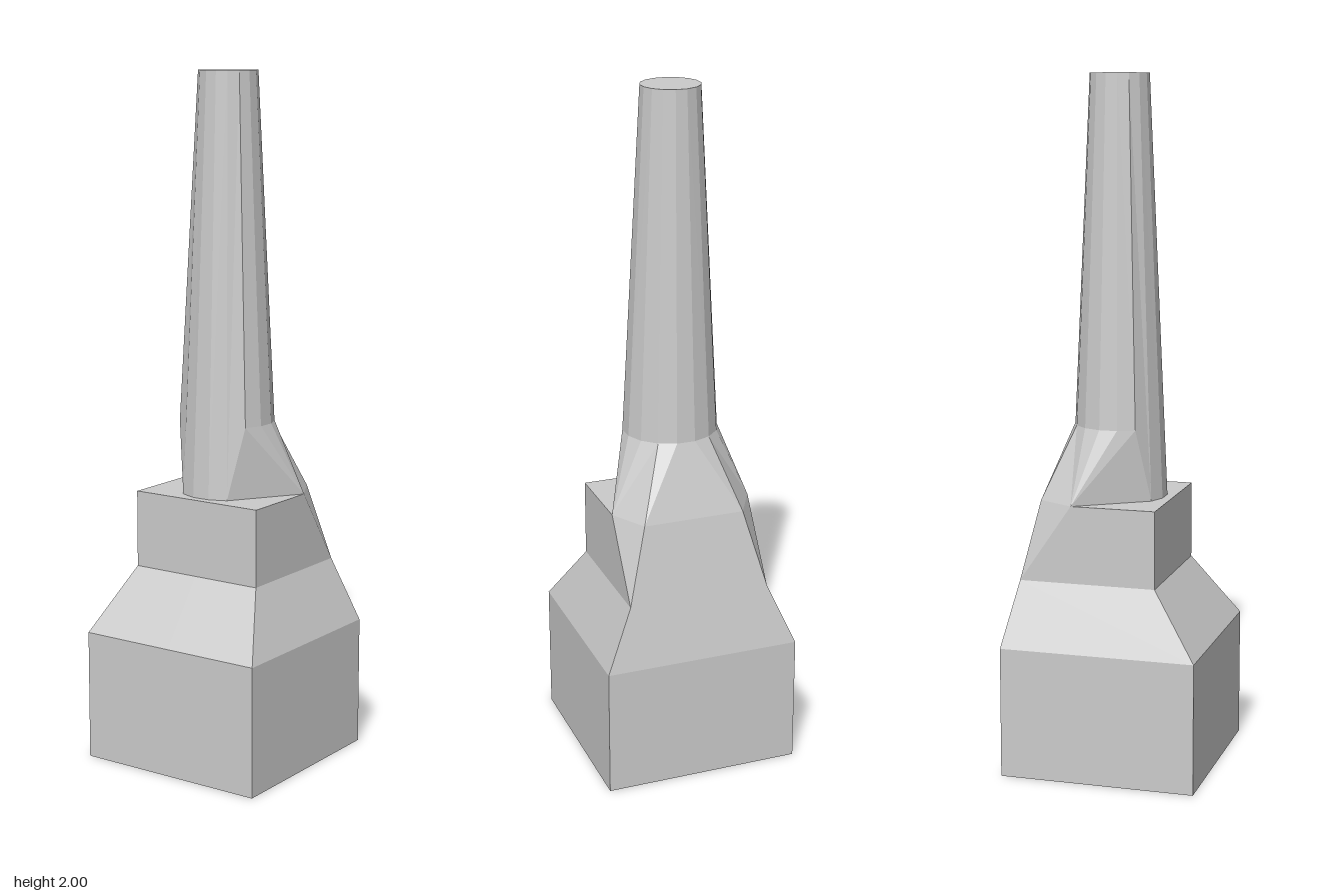
import * as THREE from 'three';

const material = new THREE.MeshStandardMaterial({ color: 0xcccccc, flatShading: true });

// Builds a mesh from convex faces of the +x half (counter-clockwise from outside), mirrored to -x.
function mirroredMesh(name, faces) {
  const positions = [];
  for (const face of faces) {
    for (let i = 1; i < face.length - 1; i++) {
      const tri = [face[0], face[i], face[i + 1]];
      for (const [x, y, z] of tri) positions.push(x, y, z);
      for (const [x, y, z] of tri.reverse()) positions.push(-x, y, z);
    }
  }
  const geometry = new THREE.BufferGeometry();
  geometry.setAttribute('position', new THREE.Float32BufferAttribute(positions, 3));
  geometry.computeVertexNormals();
  const mesh = new THREE.Mesh(geometry, material);
  mesh.name = name;
  return mesh;
}

// The same point moved onto the mirror plane.
const mid = ([, y, z]) => [0, y, z];

export function createModel() {
  const group = new THREE.Group();
  group.name = 'chimney';

  // Corners of the stepped body, front (f) and back (b), from the ground up
  const f = [[0.29, 0, 0.285], [0.29, 0.38, 0.285], [0.21, 0.565, 0.15], [0.21, 0.79, 0.15]];
  const b = [[0.29, 0, -0.285], [0.29, 0.38, -0.285], [0.21, 0.565, -0.25], [0.15, 0.79, -0.205]];
  const shoulder = [0.21, 0.79, -0.097];

  // Half rings of the 16-sided shaft, running from front to back
  const top = [], ring = [];
  for (let k = 0; k < 8; k++) {
    const a = (k + 0.5) * Math.PI / 8;
    top.push([0.085 * Math.sin(a), 2, -0.013 + 0.085 * Math.cos(a)]);
    // the two front corners run down to the ledge
    ring.push([0.139 * Math.sin(a), k < 2 ? 0.79 : 1, -0.008 + 0.134 * Math.cos(a)]);
  }

  // Base block, sloped shoulders and ledge
  const body = [[mid(f[0]), mid(b[0]), b[0], f[0]]];
  for (let i = 0; i < 3; i++) {
    body.push([mid(f[i]), f[i], f[i + 1], mid(f[i + 1])]);
    body.push([b[i], mid(b[i]), mid(b[i + 1]), b[i + 1]]);
    if (i < 2) body.push([f[i], b[i], b[i + 1], f[i + 1]]);
  }
  body.push([f[2], b[2], shoulder, f[3]]);
  body.push([b[2], b[3], shoulder]);
  body.push([mid(f[3]), f[3], shoulder, mid(shoulder)]);
  group.add(mirroredMesh('body', body));

  // Skirt blending the body into the shaft
  const skirt = [];
  for (let k = 1; k < 5; k++) skirt.push([ring[k], shoulder, ring[k + 1]]);
  skirt.push([ring[5], shoulder, ring[6]]);
  skirt.push([shoulder, b[3], ring[6]]);
  skirt.push([b[3], ring[7], ring[6]]);
  skirt.push([b[3], mid(b[3]), mid(ring[7]), ring[7]]);
  group.add(mirroredMesh('skirt', skirt));

  // Tapered shaft with a flat cap
  const shaft = [
    [mid(ring[0]), ring[0], top[0], mid(top[0])],
    [ring[7], mid(ring[7]), mid(top[7]), top[7]],
    [mid(top[0]), ...top, mid(top[7])],
  ];
  for (let k = 0; k < 7; k++) shaft.push([ring[k], ring[k + 1], top[k + 1], top[k]]);
  group.add(mirroredMesh('shaft', shaft));

  return group;
}
